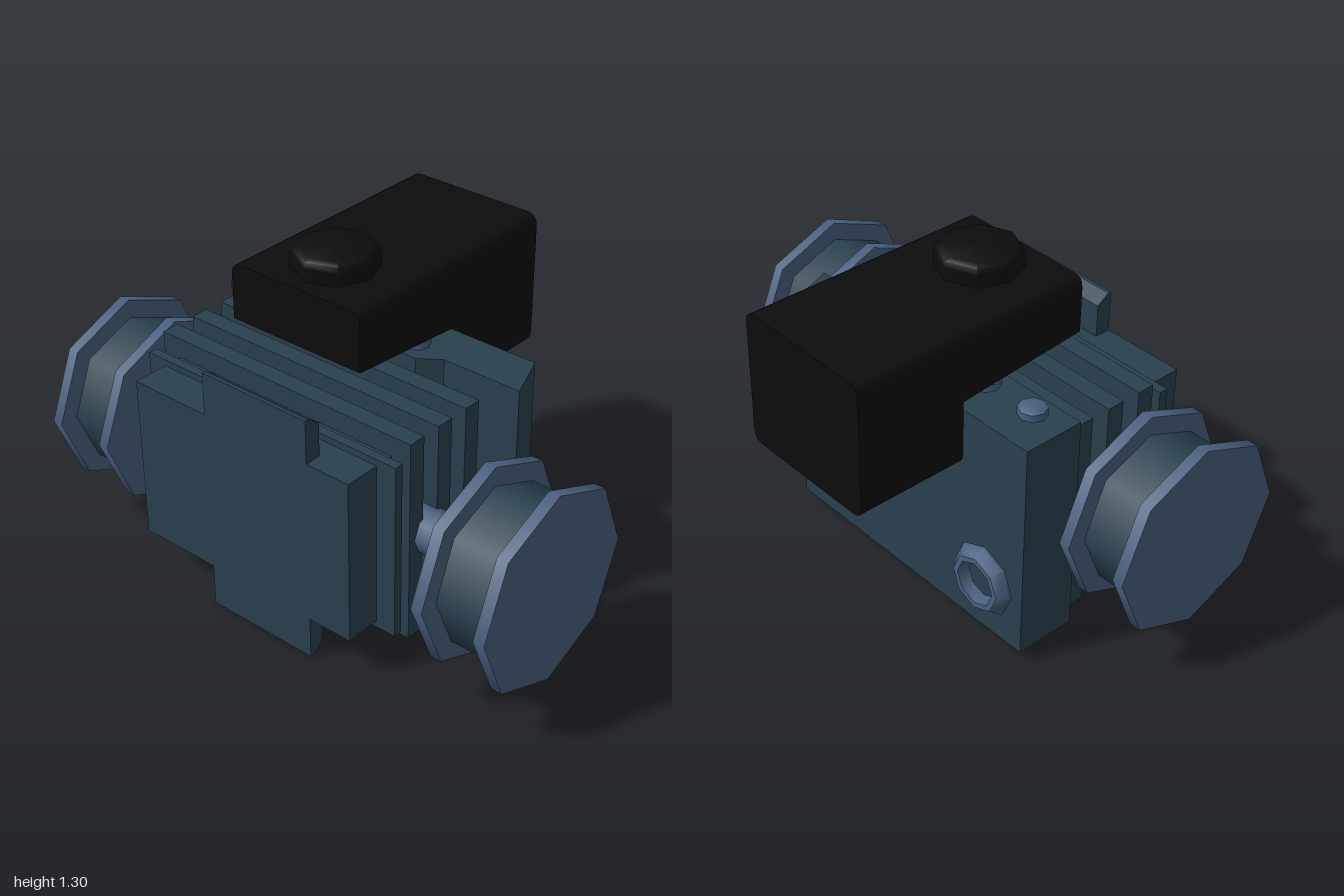
import * as THREE from 'three';
import { toCreasedNormals } from 'three/addons/utils/BufferGeometryUtils.js';

export function createModel() {
  const model = new THREE.Group();
  model.name = 'motorUnit';

  const mat = (name, color) => {
    const m = new THREE.MeshStandardMaterial({ color });
    m.name = name;
    return m;
  };
  const teal = mat('dark teal', 0x2a404e);
  const steel = mat('steel blue', 0x4a6080);
  const black = mat('black', 0x0c0c0c);

  const MID_Y = 0.49; // axle height and mirror plane of the body

  const add = (name, geo, material, x = 0, y = 0, z = 0, parent = model) => {
    const mesh = new THREE.Mesh(geo, material);
    mesh.name = name;
    mesh.position.set(x, y, z);
    parent.add(mesh);
    return mesh;
  };
  // Box given by its limits
  const block = (name, material, x0, x1, y0, y1, z0, z1) =>
    add(name, new THREE.BoxGeometry(x1 - x0, y1 - y0, z1 - z0), material,
      (x0 + x1) / 2, (y0 + y1) / 2, (z0 + z1) / 2);
  const shapeOf = (pts) => new THREE.Shape(pts.map(([a, b]) => new THREE.Vector2(a, b)));
  const extrude = (shape, depth) =>
    new THREE.ExtrudeGeometry(shape, { depth, bevelEnabled: false, curveSegments: 4 });
  const lathe = (pts) => toCreasedNormals(
    new THREE.LatheGeometry(pts.map(([r, y]) => new THREE.Vector2(r, y)), 8), 0.8);
  // Eight-sided disc along x
  const disc = (r, width) => new THREE.CylinderGeometry(r, r, width, 8).rotateZ(Math.PI / 2);

  // Engine body with cooling fins
  block('body', teal, -0.57, 0.41, 0.17, 0.81, -0.035, 0.615);
  for (const z of [0.04, 0.185, 0.33]) {
    block('coolingFin', teal, -0.65, 0.49, 0.09, 0.887, z, z + 0.07);
  }
  block('thinFin', teal, -0.65, 0.49, 0.145, 0.835, 0.44, 0.475);

  // Rear casing, stepped and slanted on its left side
  const casing = extrude(shapeOf([
    [-0.68, -0.22], [0.53, -0.22], [0.6, -0.035], [0.28, -0.035], [0.2, 0.022], [-0.68, 0.022],
  ]), 0.88).rotateX(Math.PI / 2);
  add('rearCasing', casing, teal, 0, 0.93, 0);

  // Front lugs and their bolts, and casing bolts, above and below
  const lugBolt = lathe([[0, 0], [0.035, 0], [0.052, 0.008], [0.052, 0.034], [0, 0.034]])
    .rotateX(Math.PI / 2);
  const casingBolt = lathe([[0, 0], [0.053, 0], [0.053, 0.027], [0.042, 0.035], [0, 0.035]]);
  for (const side of [1, -1]) {
    const lug = shapeOf([
      [0.615, 0.485], [0.6, 0.485], [0.55, 0.45], [0.55, 0.32], [0.615, 0.32],
    ].map(([z, y]) => [z, side * y]));
    add('frontLug', extrude(lug, 0.465).rotateY(-Math.PI / 2), teal, 0.23, MID_Y, 0);
    for (const x of [-0.087, 0.083]) {
      add('lugBolt', lugBolt, steel, x, MID_Y + side * 0.382, 0.518);
    }
    for (let i = 0; i < 4; i++) {
      const bolt = add('casingBolt', casingBolt, steel, -0.54 + i * 0.225, MID_Y + side * 0.44, -0.063);
      if (side < 0) bolt.rotation.x = Math.PI;
    }
  }

  // Open ports on the back
  const port = lathe([[0.14, 0], [0.14, 0.01], [0.11, 0.045], [0.088, 0.045], [0.078, 0]])
    .rotateX(-Math.PI / 2);
  for (const x of [-0.49, 0.335]) add('rearPort', port, steel, x, 0.27, -0.22);

  // Axle and spool-shaped wheels
  add('axle', disc(0.083, 1.5), steel, 0, MID_Y, 0.29);
  for (const side of [1, -1]) {
    const wheel = new THREE.Group();
    wheel.name = side > 0 ? 'leftWheel' : 'rightWheel';
    wheel.position.set(0, MID_Y, 0.29);
    model.add(wheel);
    add('outerFlange', disc(0.37, 0.044), steel, side * 0.978, 0, 0, wheel);
    add('innerFlange', disc(0.37, 0.044), steel, side * 0.73, 0, 0, wheel);
    add('wheelHub', disc(0.296, 0.22), teal, side * 0.854, 0, 0, wheel);
  }

  // Black housing: rounded section run along z, deep at the rear, shallow in front
  const housingShape = (y0, y1, rBottom) => {
    const [x0, x1, r] = [-0.375, 0.203, 0.045];
    const s = new THREE.Shape();
    s.moveTo(x0 + rBottom, y0);
    s.lineTo(x1 - rBottom, y0);
    if (rBottom) s.quadraticCurveTo(x1, y0, x1, y0 + rBottom);
    s.lineTo(x1, y1 - r);
    s.quadraticCurveTo(x1, y1, x1 - r, y1);
    s.lineTo(x0 + r, y1);
    s.quadraticCurveTo(x0, y1, x0, y1 - r);
    s.lineTo(x0, y0 + rBottom);
    if (rBottom) s.quadraticCurveTo(x0, y0, x0 + rBottom, y0);
    return s;
  };
  add('housingRear', toCreasedNormals(extrude(housingShape(0.7, 1.225, 0.045), 0.44), 0.7),
    black, 0, 0, -0.66);
  const front = extrude(housingShape(0.96, 1.225, 0), 0.535);
  const p = front.attributes.position;
  for (let i = 0; i < p.count; i++) {
    // Underside rises toward the front
    if (p.getY(i) < 0.97 && p.getZ(i) > 0.3) p.setY(i, 1.005);
  }
  add('housingFront', toCreasedNormals(front, 0.7), black, 0, 0, -0.22);

  // Cap on the housing
  add('housingCap', lathe([
    [0.157, 0], [0.157, 0.05], [0.15, 0.07], [0.132, 0.08], [0, 0.08],
  ]), black, -0.085, 1.225, 0.107);

  return model;
}
